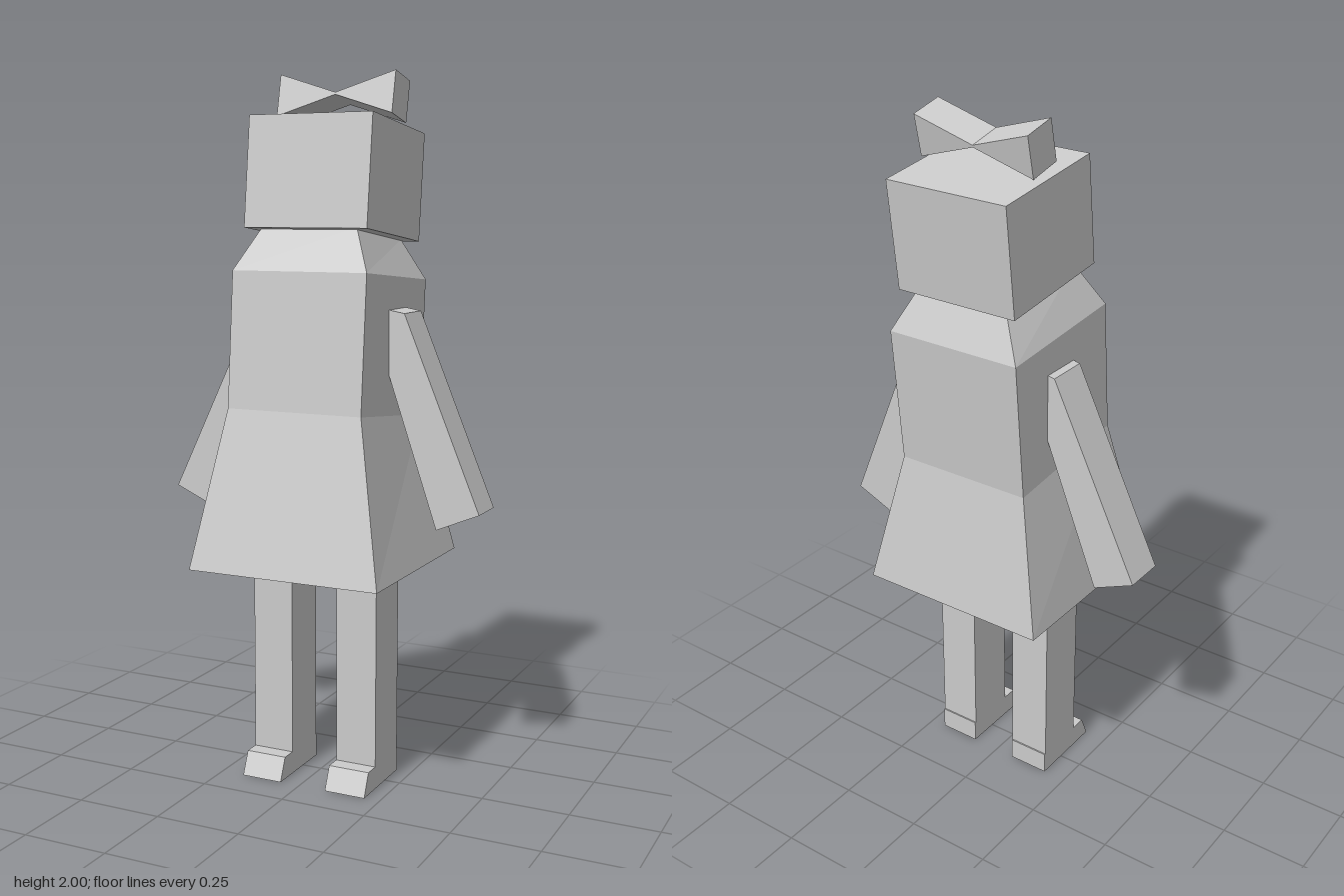
import * as THREE from 'three';

const material = new THREE.MeshStandardMaterial({ color: 0xcccccc, flatShading: true, side: THREE.DoubleSide });

// Closed solid through a list of four-cornered rings
function loft(rings) {
  const tris = [];
  const quad = (a, b, c, d) => tris.push(...a, ...b, ...c, ...a, ...c, ...d);
  for (let i = 0; i < rings.length - 1; i++) {
    for (let j = 0; j < 4; j++) {
      const k = (j + 1) % 4;
      quad(rings[i][j], rings[i][k], rings[i + 1][k], rings[i + 1][j]);
    }
  }
  const first = rings[0], last = rings[rings.length - 1];
  quad(first[3], first[2], first[1], first[0]);
  quad(last[0], last[1], last[2], last[3]);
  const g = new THREE.BufferGeometry();
  g.setAttribute('position', new THREE.Float32BufferAttribute(tris, 3));
  g.computeVertexNormals();
  return g;
}

// Ring lying across the y axis, its height tipping from front to back
const tipped = (x0, x1, zFront, zBack, yFront, yBack) => [
  [x0, yFront, zFront], [x1, yFront, zFront], [x1, yBack, zBack], [x0, yBack, zBack],
];

// Ring lying across the y axis, its height tipping from side to side
const slanted = (x0, y0, x1, y1, zFront, zBack) => [
  [x0, y0, zFront], [x1, y1, zFront], [x1, y1, zBack], [x0, y0, zBack],
];

export function createModel() {
  const model = new THREE.Group();
  model.name = 'figure';
  const add = (name, geometry) => {
    const mesh = new THREE.Mesh(geometry, material);
    mesh.name = name;
    model.add(mesh);
    return mesh;
  };

  // Dress: hem, waist, shoulders, collar
  add('dress', loft([
    tipped(-0.27, 0.3, 0.285, -0.285, 0.635, 0.635),
    tipped(-0.2, 0.205, 0.18, -0.235, 1.08, 1.035),
    tipped(-0.2, 0.205, 0.147, -0.27, 1.46, 1.425),
    tipped(-0.14, 0.145, 0.08, -0.225, 1.58, 1.54),
  ]));

  // Head, leaning back
  const head = add('head', new THREE.BoxGeometry(0.37, 0.307, 0.367));
  head.position.set(0.01, 1.708, -0.075);
  head.rotation.x = -0.115;

  // Hair bow: two square ends pinched together in the middle
  const bow = add('bow', loft([[-0.175, 0.059], [0, 0.003], [0.175, 0.059]].map(([x, h]) => [
    [x, -h, 0.0515], [x, -h, -0.0515], [x, h, -0.0515], [x, h, 0.0515],
  ])));
  bow.position.set(0.025, 1.93, -0.0875);
  bow.rotation.x = -0.22;

  // Arms, hanging outward from inside the dress
  add('leftArm', loft([
    slanted(0.35, 0.75, 0.475, 0.803, -0.005, -0.125),
    slanted(0.14, 1.365, 0.25, 1.345, -0.005, -0.125),
  ]));
  add('rightArm', loft([
    slanted(-0.48, 0.808, -0.36, 0.755, -0.005, -0.125),
    slanted(-0.22, 1.345, -0.12, 1.365, -0.005, -0.125),
  ]));

  // Legs and wedge-toed feet
  for (const [side, x] of [['left', 0.143], ['right', -0.12]]) {
    add(side + 'Leg', new THREE.BoxGeometry(0.122, 0.585, 0.155)).position.set(x, 0.3525, -0.0085);
    add(side + 'Foot', loft([
      tipped(x - 0.061, x + 0.061, 0.145, -0.09, 0, 0),
      tipped(x - 0.061, x + 0.061, 0.116, -0.09, 0.065, 0.065),
    ]));
  }

  return model;
}
